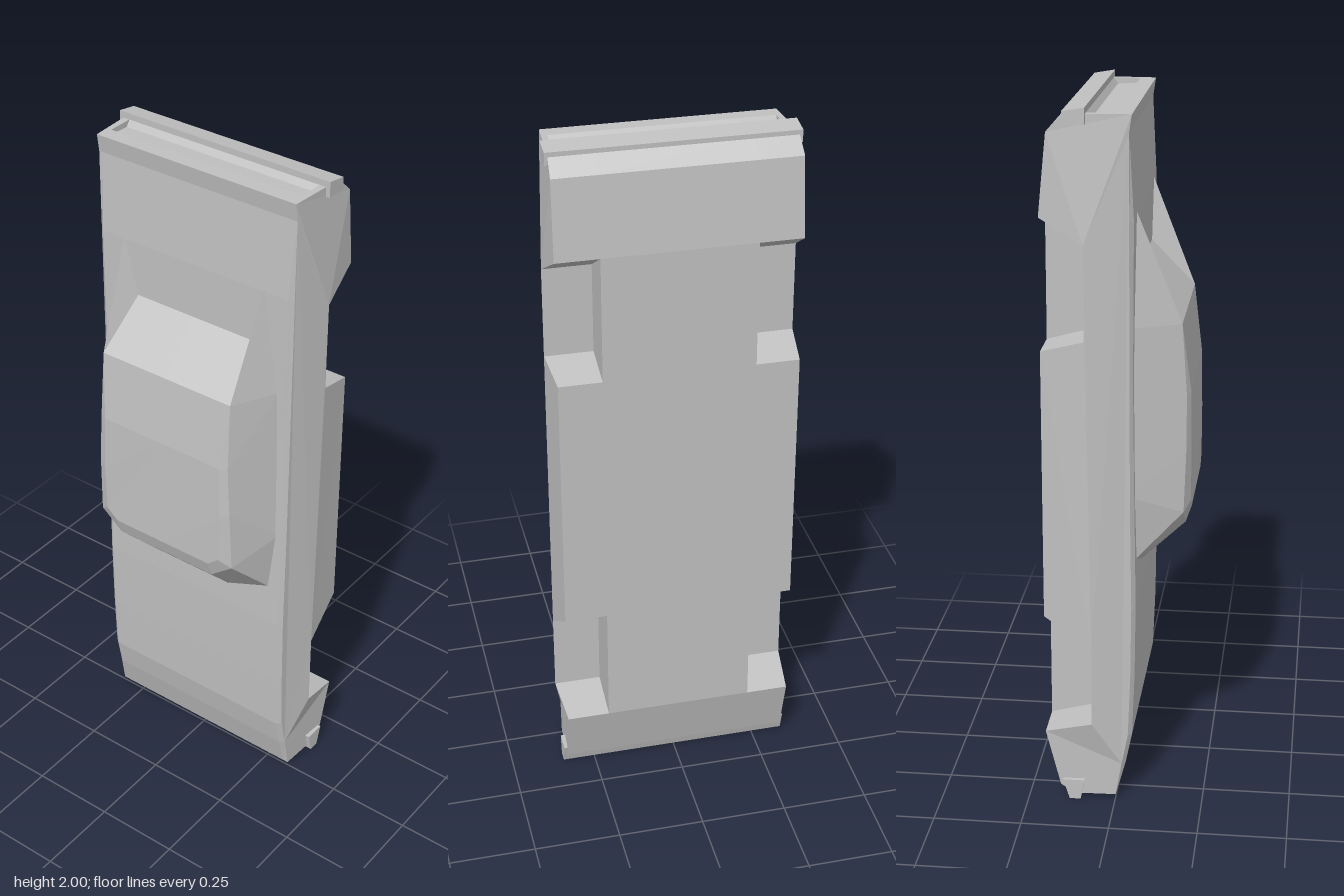
import * as THREE from 'three';

const paint = new THREE.MeshStandardMaterial({ color: 0xc0c0c0, flatShading: true });
paint.name = 'plain grey';

// Extrudes a [z, y] outline along x, from x0 to x1
function slab(name, points, x0, x1) {
  const shape = new THREE.Shape(points.map(([z, y]) => new THREE.Vector2(-z, y)));
  const geo = new THREE.ExtrudeGeometry(shape, { depth: x1 - x0, bevelEnabled: false });
  geo.rotateY(Math.PI / 2).translate(x0, 0, 0);
  const mesh = new THREE.Mesh(geo, paint);
  mesh.name = name;
  return mesh;
}

// Side outline of the body, nose down; optional wheel arches and tail recess
function bodyOutline(arches, recess) {
  const hood = [[0, 0.01], [0.028, 0.11], [0.046, 0.2], [0.053, 0.38], [0.056, 0.6],
    [0.052, 0.9], [0.048, 1.25], [0.05, 1.7], [0.038, 1.93], [0.046, 1.982]];
  const panel = recess ? [[0.002, 1.982], [-0.006, 1.968], [-0.063, 1.965], [-0.075, 1.982]] : [];
  const tail = [[-0.13, 1.982], [-0.178, 1.935], [-0.2, 1.71]];
  const rearArch = [[-0.08, 1.64], [-0.08, 1.378], [-0.2, 1.345]];
  const frontArch = [[-0.2, 0.57], [-0.065, 0.48], [-0.065, 0.245]];
  const nose = [[-0.2, 0.21], [-0.158, 0.04], [-0.12, 0.012]];
  return [...hood, ...panel, ...tail, ...(arches ? [...rearArch, ...frontArch] : []), ...nose];
}

// Body side skin: leans in towards the top and flares at the arches
function bodySide(s) {
  const x0 = 0.31, x1 = 0.34;
  const mesh = slab('bodySide', bodyOutline(true, false), s > 0 ? x0 : -x1, s > 0 ? x1 : -x0);
  const p = mesh.geometry.attributes.position;
  for (let i = 0; i < p.count; i++) {
    if (Math.abs(p.getX(i)) < x1 - 0.001) continue;
    const y = p.getY(i), z = p.getZ(i);
    const isArch = z > -0.1 && z < -0.05 && y > 0.2 && y < 1.8;
    p.setX(i, s * (isArch ? 0.352 : 0.338 - 0.015 * (z + 0.2) / 0.25));
    if (z > 0.02 && y < 1.9) p.setZ(i, z - 0.011);
  }
  mesh.geometry.computeVertexNormals();
  return mesh;
}

// Cabin: half of the corner points and faces, mirrored across x
function cabin() {
  const v = {
    m0: [0, 0.665, 0.048], m1: [0, 0.805, 0.183], m2: [0, 0.855, 0.2],
    m3: [0, 1.2, 0.198], m4: [0, 1.4, 0.173], m5: [0, 1.54, 0.046],
    a0: [0.13, 0.665, 0.048], a1: [0.275, 0.72, 0.043], a2: [0.297, 0.92, 0.041],
    a3: [0.285, 1.4, 0.041], a4: [0.235, 1.72, 0.046],
    b0: [0.165, 0.805, 0.183], b1: [0.235, 0.86, 0.182], b2: [0.23, 1.05, 0.188], b3: [0.222, 1.2, 0.187],
    c0: [0.165, 0.855, 0.2], c1: [0.2, 0.885, 0.2], c2: [0.205, 1.03, 0.2], c3: [0.2, 1.2, 0.198],
    d: [0.218, 1.4, 0.173], e: [0.19, 1.54, 0.046],
  };
  const faces = [
    'm0 a0 b0 m1', 'a0 a1 b1 b0',               // windshield
    'm1 b0 c0 m2', 'b0 b1 c1 c0',               // header
    'm2 c0 c1 c2 c3 m3', 'm3 c3 d m4',          // roof
    'm4 d e m5',                                // rear window
    'c1 b1 b2 c2', 'c2 b2 b3 c3', 'c3 b3 d',    // roof edge
    'a1 a2 b1', 'a2 b2 b1', 'a2 a3 b3 b2', 'a3 d b3', // side windows
    'a3 a4 d', 'd a4 e',                        // rear buttress, outside and inside
  ];
  const pos = [];
  for (const s of [1, -1]) {
    for (const face of faces) {
      const c = face.split(' ').map((k) => [v[k][0] * s, v[k][1], v[k][2]]);
      if (s < 0) c.reverse();
      for (let i = 1; i < c.length - 1; i++) pos.push(...c[0], ...c[i], ...c[i + 1]);
    }
  }
  const geo = new THREE.BufferGeometry();
  geo.setAttribute('position', new THREE.Float32BufferAttribute(pos, 3));
  geo.computeVertexNormals();
  const mesh = new THREE.Mesh(geo, paint);
  mesh.name = 'cabin';
  return mesh;
}

export function createModel() {
  const car = new THREE.Group();
  car.name = 'carBody';

  // Body: solid core, then arch sections and side skins on both sides
  car.add(slab('bodyCore', bodyOutline(false, true), -0.215, 0.215));
  for (const s of [1, -1]) {
    car.add(slab('archSection', bodyOutline(true, true), s > 0 ? 0.215 : -0.31, s > 0 ? 0.31 : -0.215));
    car.add(bodySide(s));
  }
  car.add(cabin());

  // Bumpers
  car.add(slab('frontBumper', [[-0.1, 0], [-0.088, 0.06], [-0.15, 0.06], [-0.132, 0]], -0.345, 0.345));
  car.add(slab('rearBumper', [[-0.075, 1.955], [-0.075, 2], [-0.135, 1.99], [-0.135, 1.955]], -0.343, 0.343));
  return car;
}
